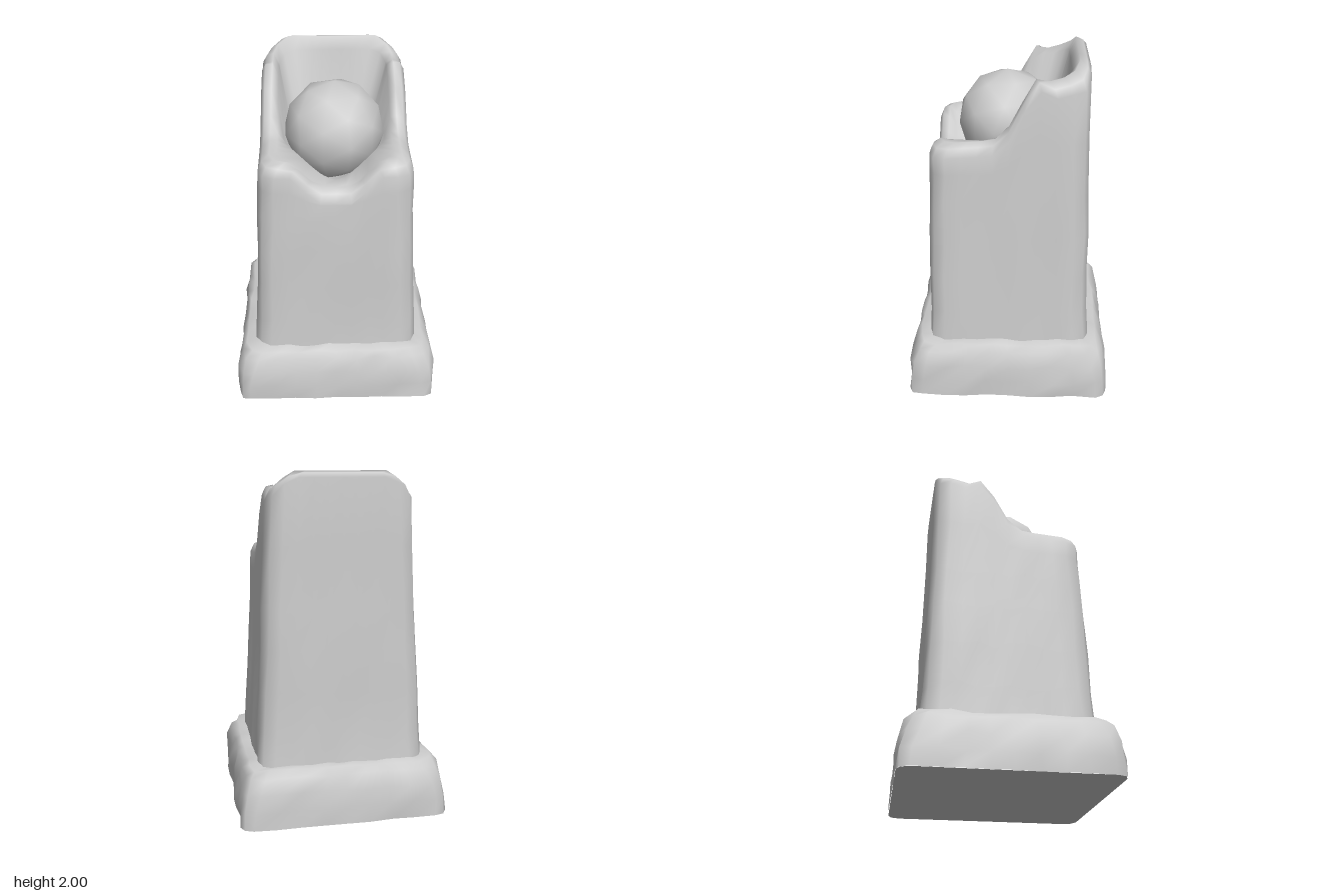
import * as THREE from 'three';

const lerp = THREE.MathUtils.lerp;
const clamp = THREE.MathUtils.clamp;

// Piecewise linear lookup through [key, value] pairs with rising keys
function sample(table, t) {
  for (let i = 1; i < table.length; i++) {
    const [k0, v0] = table[i - 1], [k1, v1] = table[i];
    if (t <= k1) return lerp(v0, v1, clamp((t - k0) / (k1 - k0), 0, 1));
  }
  return table[table.length - 1][1];
}

// Rounded rectangle loop: three points per corner, seven along each side
function ring(hx, hz, r, y) {
  const pts = [];
  for (let k = 0; k < 4; k++) {
    const a = k * Math.PI / 2, c = Math.round(Math.cos(a)), s = Math.round(Math.sin(a));
    const put = (u, v) => { // u outward, v along the side, on a unit-free frame
      const x = c * u - s * v, z = s * u + c * v;
      pts.push(new THREE.Vector3(x, y, z));
    };
    const out = k % 2 ? hz : hx, along = k % 2 ? hx : hz;
    for (let i = -3; i <= 3; i++) put(out, (along - r) * i / 4);
    for (let i = 0; i <= 2; i++) {
      const b = i * Math.PI / 4;
      put(out - r + r * Math.cos(b), along - r + r * Math.sin(b));
    }
  }
  return pts;
}

// Skin a stack of equal-length loops
function loft(rings) {
  const n = rings[0].length, pos = [], idx = [];
  rings.forEach(loop => loop.forEach(p => pos.push(p.x, p.y, p.z)));
  for (let i = 0; i < rings.length - 1; i++) {
    for (let j = 0; j < n; j++) {
      const a = i * n + j, c = i * n + (j + 1) % n;
      idx.push(a, a + n, c, a + n, c + n, c);
    }
  }
  const g = new THREE.BufferGeometry();
  g.setAttribute('position', new THREE.Float32BufferAttribute(pos, 3));
  g.setIndex(idx);
  g.computeVertexNormals();
  return g;
}

// Seeded roughness for the hewn stone
function roughener(seed) {
  let s = seed;
  const rnd = () => ((s = (s * 16807) % 2147483647) / 2147483647) * 2 - 1;
  return (loop, d, dy) => loop.map(p =>
    new THREE.Vector3(p.x + rnd() * d, p.y + rnd() * dy, p.z + rnd() * d));
}

// Height of the rim: low at the front, swept up to a tall back
const RIM = [[-0.45, 2], [-0.38, 2], [-0.2, 1.95], [-0.12, 1.9], [-0.07, 1.78],
  [0, 1.65], [0.05, 1.59], [0.1, 1.57], [0.4, 1.55]];
function rimHeight(x, z) {
  const notch = z > 0.2 ? clamp((0.25 - Math.abs(x)) / 0.15, 0, 1) * 0.16 : 0;
  const shoulder = z < -0.2 ? clamp((Math.abs(x) - 0.28) / 0.12, 0, 1) * 0.07 : 0;
  return sample(RIM, z) - notch - shoulder;
}
const WIDTH = [[0.28, 0.495], [0.5, 0.48], [1, 0.455], [1.5, 0.432], [1.8, 0.42], [2, 0.405]];
const DEPTH = [[0.28, 0.485], [0.5, 0.47], [1, 0.46], [1.5, 0.445], [2, 0.445]];

function plinthGeometry() {
  const rough = roughener(41);
  const sections = [[0.61, 0.6, 0.07, 0], [0.612, 0.602, 0.08, 0.1], [0.6, 0.59, 0.09, 0.2],
    [0.575, 0.565, 0.1, 0.29], [0.545, 0.535, 0.1, 0.325], [0.47, 0.46, 0.1, 0.335]];
  return loft(sections.map((s, i) => rough(ring(...s), 0.01, i ? 0.01 : 0)));
}

function columnGeometry() {
  const rough = roughener(97);
  const rings = [];
  // Tapered shaft
  for (const y of [0.28, 0.5, 0.75, 1, 1.22]) {
    rings.push(rough(ring(sample(WIDTH, y), sample(DEPTH, y), 0.09, y), 0.006, 0.02));
  }
  // Rounded rim: outer edge, crest and inner edge follow the rim height
  const rimRing = (inset, dropAt) => ring(0.425 - inset, 0.445 - inset, 0.09, 0).map(p => {
    const top = rimHeight(p.x, p.z);
    const y = top - dropAt(p);
    const k = (sample(WIDTH, y) - inset) / (0.425 - inset);
    return new THREE.Vector3(p.x * k, y, p.z);
  });
  const edge = p => (p.z < -0.38 && Math.abs(p.x) < 0.36 ? 0.035 : 0.07);
  rings.push(rough(rimRing(0, p => (rimHeight(p.x, p.z) - 1.22) * 0.5), 0.005, 0));
  rings.push(rimRing(0, edge));
  rings.push(rimRing(0.02, p => edge(p) * 0.3));
  rings.push(rimRing(0.06, () => 0));
  rings.push(rimRing(0.1, p => (p.z < 0 ? 0.06 : 0.01)));
  // Bowl that cradles the ball
  const base = ring(0.425, 0.445, 0.09, 0);
  const circle = (r, y, front) => base.map(p => {
    const a = Math.atan2(p.z, p.x);
    const notch = Math.max(0, Math.sin(a)) ** 6;
    return new THREE.Vector3(r * Math.cos(a), lerp(y, front, notch), r * Math.sin(a));
  });
  rings.push(circle(0.3, 1.53, 1.39));
  rings.push(circle(0.2, 1.4, 1.34));
  rings.push(circle(0, 1.3, 1.3));
  return loft(rings);
}

export function createModel() {
  const stone = new THREE.MeshStandardMaterial({ color: 0xcccccc });
  stone.name = 'pale grey stone';
  const model = new THREE.Group();
  model.name = 'stonePedestal';
  const add = (name, geometry) => {
    const mesh = new THREE.Mesh(geometry, stone);
    mesh.name = name;
    model.add(mesh);
    return mesh;
  };

  add('plinth', plinthGeometry());

  // Flat underside
  const foot = ring(0.61, 0.6, 0.07, 0);
  add('plinthUnderside', loft([foot.map(() => new THREE.Vector3()), foot]));

  add('column', columnGeometry());

  // Faceted ball resting in the bowl
  const ball = add('ball', new THREE.IcosahedronGeometry(0.295, 1));
  ball.position.set(0, 1.577, 0.012);
  ball.rotation.y = 0.3;

  return model;
}
